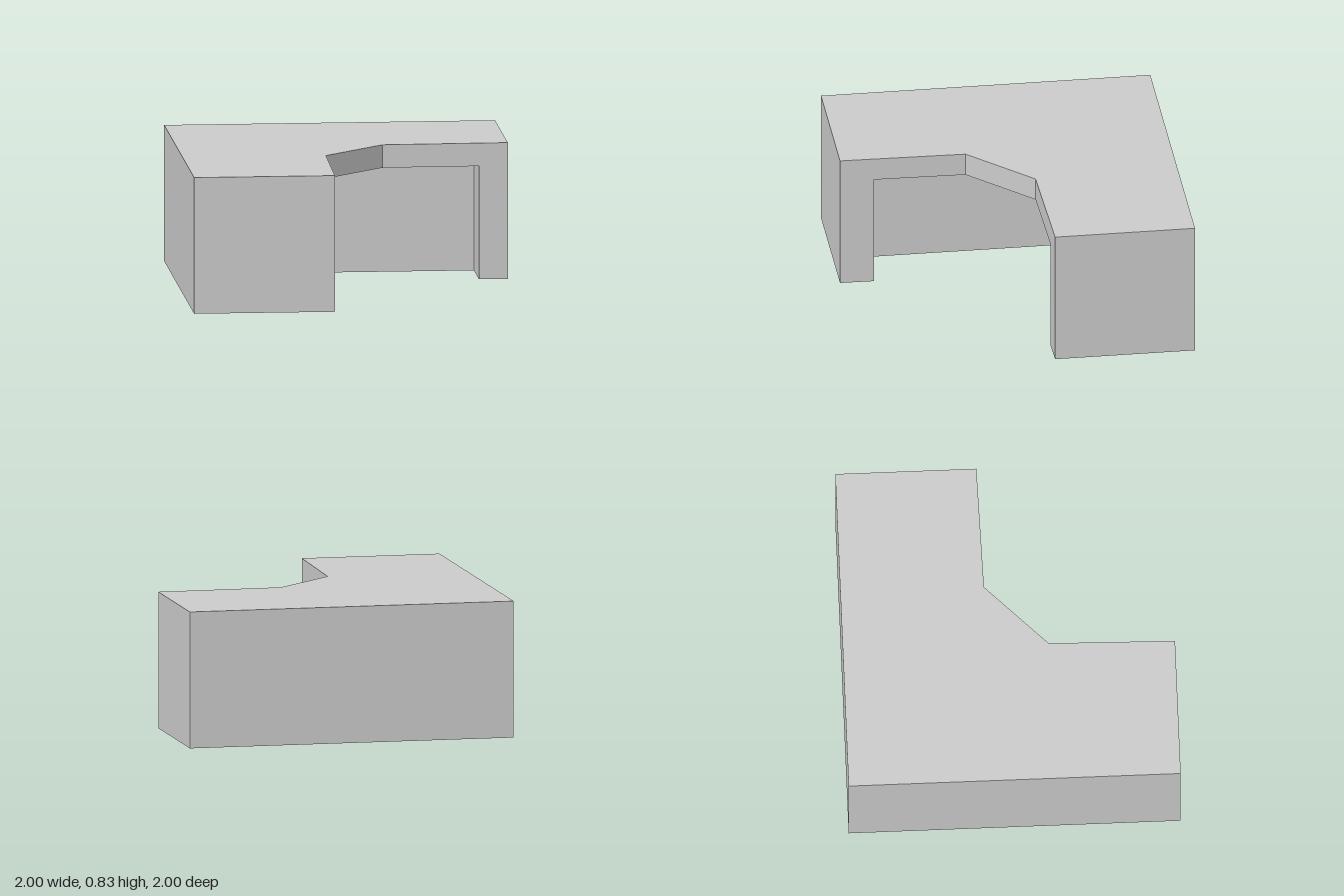
import * as THREE from 'three';

const HEIGHT = 0.83, UNDERSIDE = 0.69;

// Upright prism from a floor plan of [x, z] points
function prism(name, plan, bottom, top, material) {
  const shape = new THREE.Shape(plan.map(([x, z]) => new THREE.Vector2(x, -z)));
  const geometry = new THREE.ExtrudeGeometry(shape, { depth: top - bottom, bevelEnabled: false });
  geometry.rotateX(-Math.PI / 2);
  geometry.translate(0, bottom, 0);
  const mesh = new THREE.Mesh(geometry, material);
  mesh.name = name;
  return mesh;
}

export function createModel() {
  const group = new THREE.Group();
  group.name = 'cornerDesk';
  const grey = new THREE.MeshStandardMaterial({ color: 0xcccccc, flatShading: true });

  // Thick L-shaped top with a chamfered inner corner and slightly tapered wings
  group.add(prism('deskTop', [
    [-1, -1], [-1, 1], [-0.15, 1], [-0.135, 0.24],
    [0.24, -0.135], [1, -0.15], [1, -1],
  ], UNDERSIDE, HEIGHT, grey));

  // Solid base: two thick back walls, each ending in a side panel around the knee space
  group.add(prism('deskBase', [
    [-1, -1], [-1, 1], [-0.15, 1], [-0.146, 0.795], [-0.46, 0.795],
    [-0.46, -0.485], [0.825, -0.485], [0.825, -0.147], [1, -0.15], [1, -1],
  ], 0, UNDERSIDE, grey));

  return group;
}
